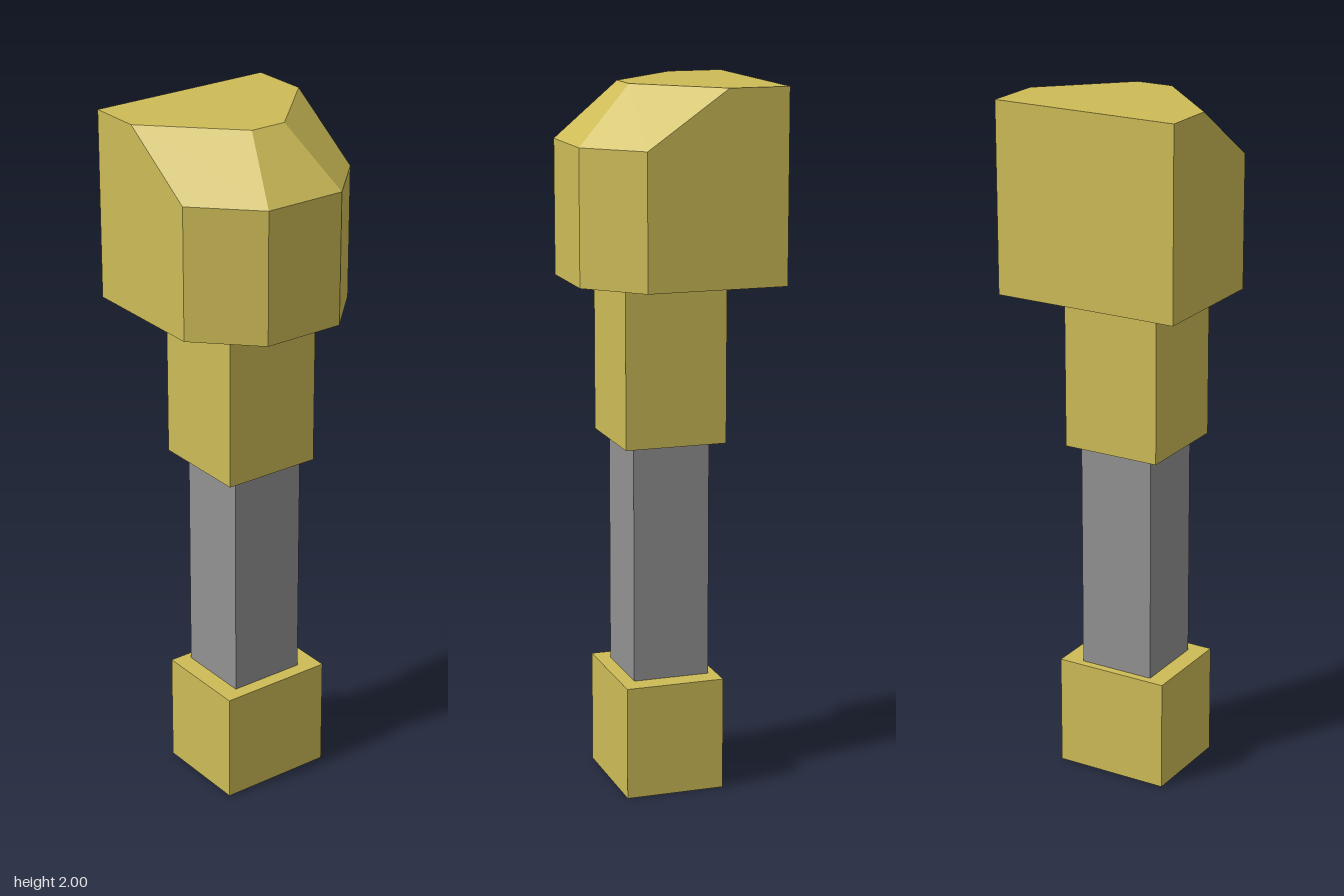
import * as THREE from 'three';

const yellow = new THREE.MeshStandardMaterial({ color: 0xcdbc57, flatShading: true });
const grey = new THREE.MeshStandardMaterial({ color: 0x929292, flatShading: true });

// Box given by its extents on each axis
function block(name, [x0, x1], [y0, y1], [z0, z1], material) {
  const mesh = new THREE.Mesh(new THREE.BoxGeometry(x1 - x0, y1 - y0, z1 - z0), material);
  mesh.position.set((x0 + x1) / 2, (y0 + y1) / 2, (z0 + z1) / 2);
  mesh.name = name;
  return mesh;
}

// Closed solid through stacked outlines of [x, z] points
function loft(rings) {
  const pos = [];
  const tri = (...pts) => pts.forEach((p) => pos.push(...p));
  const levels = rings.map(({ y, outline }) => outline.map(([x, z]) => [x, y, z]));
  const n = levels[0].length;
  for (let k = 0; k < levels.length - 1; k++) {
    const a = levels[k], b = levels[k + 1];
    for (let i = 0; i < n; i++) {
      const j = (i + 1) % n;
      tri(a[i], b[j], a[j]);
      tri(a[i], b[i], b[j]);
    }
  }
  const bottom = levels[0], top = levels[levels.length - 1];
  for (let i = 1; i < n - 1; i++) {
    tri(bottom[0], bottom[i], bottom[i + 1]);
    tri(top[0], top[i + 1], top[i]);
  }
  const geometry = new THREE.BufferGeometry();
  geometry.setAttribute('position', new THREE.Float32BufferAttribute(pos, 3));
  geometry.computeVertexNormals();
  return geometry;
}

export function createModel() {
  const model = new THREE.Group();
  model.name = 'handle';

  // Foot, shaft and collar
  model.add(
    block('foot', [-0.16, 0.18], [0, 0.325], [-0.127, 0.158], yellow),
    block('shaft', [-0.107, 0.118], [0.325, 1.003], [-0.103, 0.118], grey),
    block('collar', [-0.148, 0.143], [1.003, 1.46], [-0.145, 0.148], yellow),
  );

  // Head: square back, chamfered front corners, sloping front top
  const wide = [[-0.273, -0.273], [0.273, -0.273], [0.273, 0.127], [0.127, 0.272], [-0.114, 0.272], [-0.273, 0.113]];
  const narrow = [[-0.273, -0.273], [0.273, -0.273], [0.273, -0.102], [0.06, 0.11], [-0.047, 0.11], [-0.273, -0.116]];
  const head = new THREE.Mesh(loft([
    { y: 1.46, outline: wide },
    { y: 1.84, outline: wide },
    { y: 2, outline: narrow },
  ]), yellow);
  head.name = 'head';
  model.add(head);

  return model;
}
